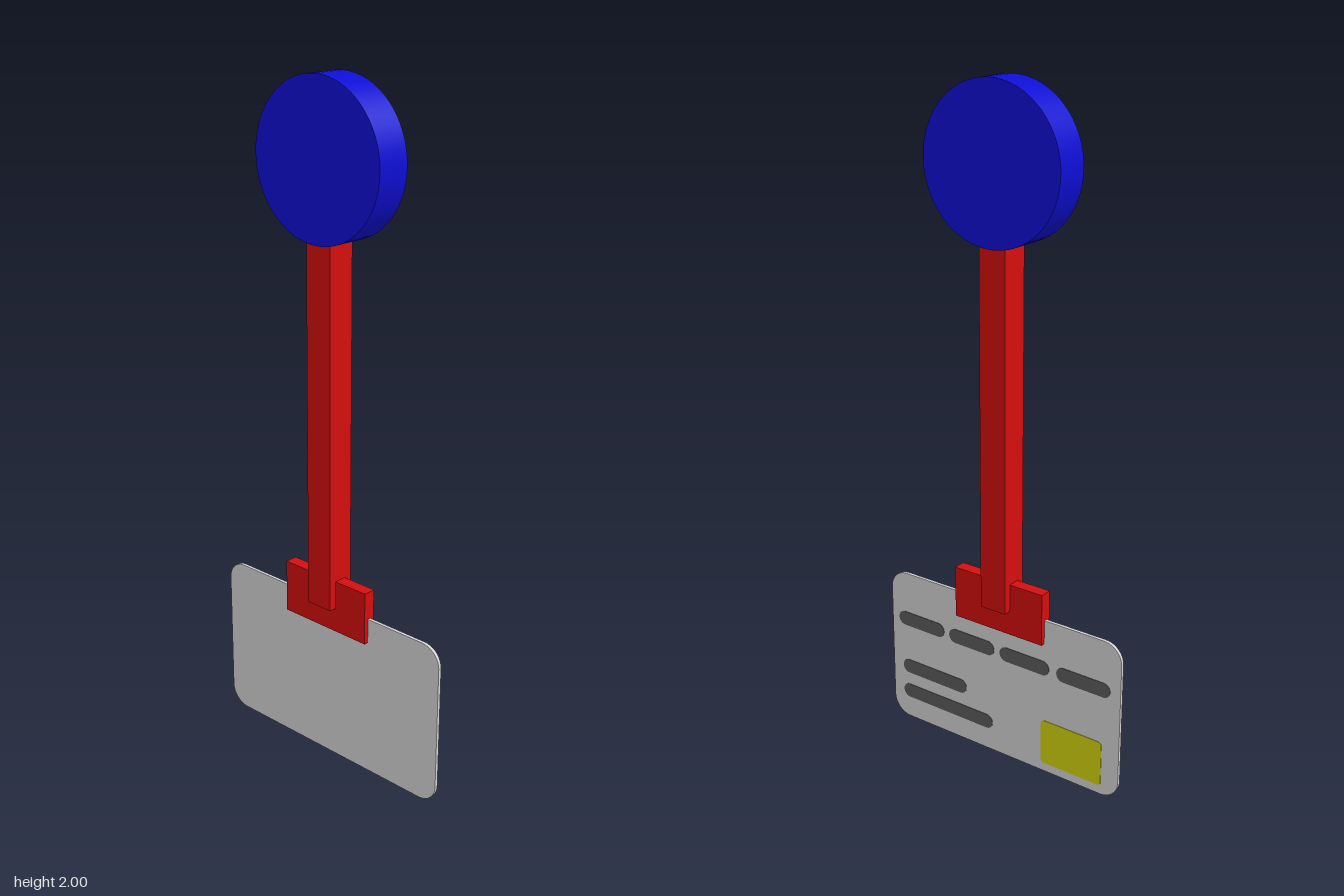
import * as THREE from 'three';

const mat = (name, color, extra = {}) => {
  const m = new THREE.MeshStandardMaterial({ color, ...extra });
  m.name = name;
  return m;
};

// Rounded rectangle plate centred on the origin, thickness along z
function plate(w, h, r, depth) {
  const s = new THREE.Shape();
  const x = w / 2 - r, y = h / 2 - r;
  s.absarc(x, y, r, 0, Math.PI / 2);
  s.absarc(-x, y, r, Math.PI / 2, Math.PI);
  s.absarc(-x, -y, r, Math.PI, Math.PI * 1.5);
  s.absarc(x, -y, r, Math.PI * 1.5, Math.PI * 2);
  s.closePath();
  return new THREE.ExtrudeGeometry(s, { depth, bevelEnabled: false, curveSegments: 8 }).translate(0, 0, -depth / 2);
}

export function createModel() {
  const group = new THREE.Group();
  const red = mat('red', 0xd40e0e);
  const blue = mat('blue', 0x0e0ed4);
  const grey = mat('light grey', 0xd4d4d4);
  const dark = mat('dark grey', 0x5c5c5c);
  const yellow = mat('yellow', 0xd4d40e);

  const add = (name, geometry, material, x, y, z = 0) => {
    const mesh = new THREE.Mesh(geometry, material);
    mesh.name = name;
    mesh.position.set(x, y, z);
    group.add(mesh);
  };

  // Round knob, stem and clamp
  add('knob', new THREE.CylinderGeometry(0.22, 0.22, 0.104, 64).rotateX(Math.PI / 2), blue, 0, 1.78);
  add('stem', new THREE.BoxGeometry(0.086, 1.065, 0.086), red, 0, 1.0325);
  add('clamp', new THREE.BoxGeometry(0.31, 0.16, 0.038), red, 0, 0.505);

  // Card
  add('card', plate(0.83, 0.5, 0.06, 0.01), grey, 0, 0.25);

  // Markings on the back of the card: x, y, width
  const marks = [
    [0.3, 0.345, 0.176], [0.108, 0.345, 0.168], [-0.085, 0.345, 0.176], [-0.29, 0.345, 0.182],
    [0.252, 0.18, 0.248], [0.203, 0.093, 0.346],
  ];
  for (const [x, y, w] of marks) add('cardMark', plate(w, 0.046, 0.0229, 0.002), dark, x, y, -0.0055);
  add('cardChip', plate(0.21, 0.144, 0.012, 0.002), yellow, -0.252, 0.1, -0.0055);

  return group;
}
